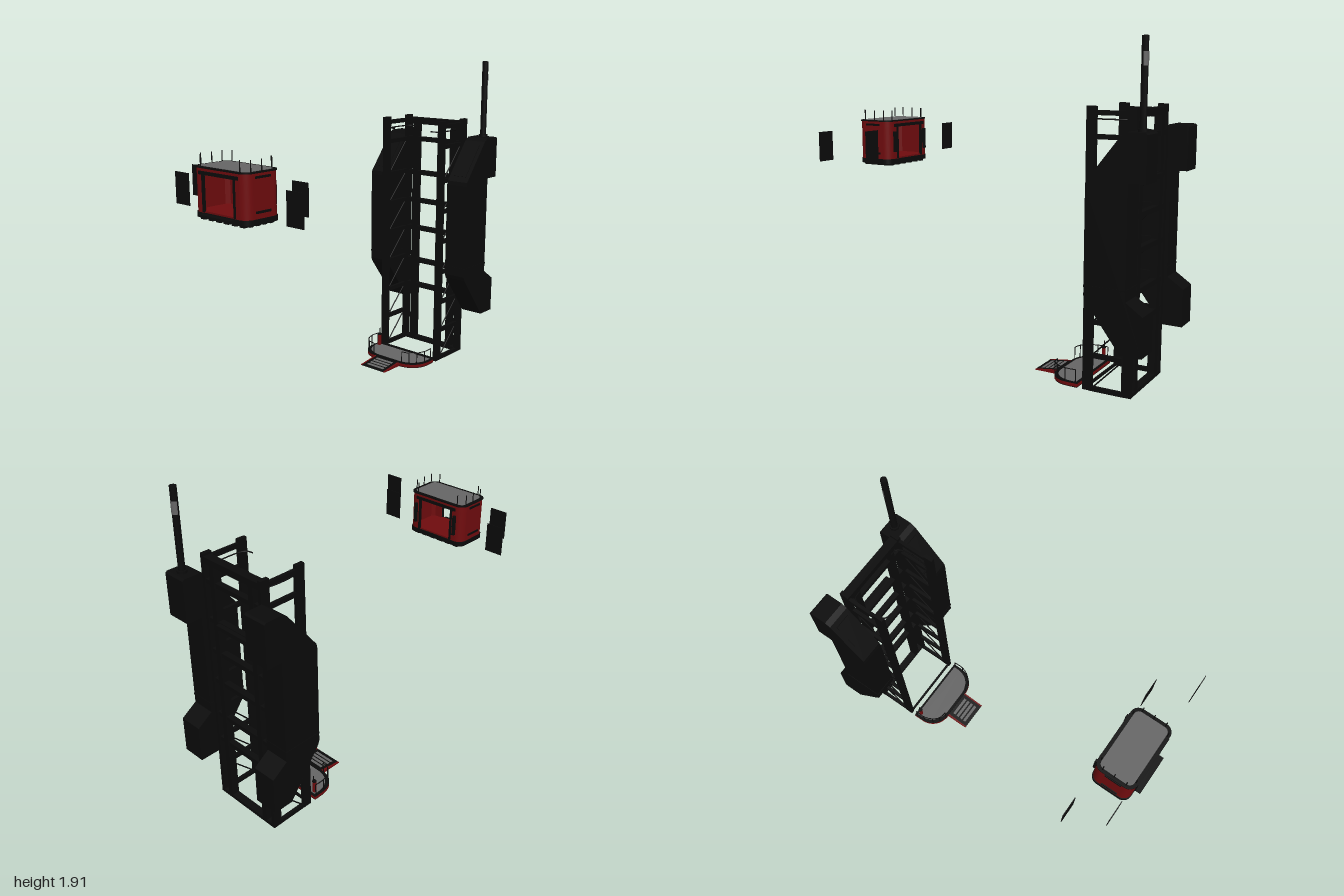
import * as THREE from 'three';

const mat = (name, color, side = THREE.FrontSide) => {
  const m = new THREE.MeshStandardMaterial({ color, side });
  m.name = name;
  return m;
};

export function createModel() {
  const black = mat('black metal', 0x0b0b0b);
  const red = mat('dark red paint', 0x700c0e);
  const gray = mat('gray tread', 0x666666);
  const doorBlack = black;

  const model = new THREE.Group();
  model.name = 'elevatorKit';
  const group = (name, x = 0) => {
    const g = new THREE.Group();
    g.name = name;
    g.position.x = x;
    model.add(g);
    return g;
  };
  const add = (g, name, geo, m) => {
    const mesh = new THREE.Mesh(geo, m);
    mesh.name = name;
    g.add(mesh);
    return mesh;
  };
  // box given by its limits
  const box = (g, name, m, x0, x1, y0, y1, z0, z1) => {
    const mesh = add(g, name, new THREE.BoxGeometry(Math.abs(x1 - x0), y1 - y0, Math.abs(z1 - z0)), m);
    mesh.position.set((x0 + x1) / 2, (y0 + y1) / 2, (z0 + z1) / 2);
    return mesh;
  };
  // straight round bar between two points
  const bar = (g, name, m, a, b, r) => {
    const p = new THREE.Vector3(...a), q = new THREE.Vector3(...b);
    const mesh = add(g, name, new THREE.CylinderGeometry(r, r, p.distanceTo(q), 8), m);
    mesh.position.copy(p).add(q).multiplyScalar(0.5);
    mesh.quaternion.setFromUnitVectors(new THREE.Vector3(0, 1, 0), q.sub(p).normalize());
    return mesh;
  };
  const tube = (g, name, m, pts, r) => add(g, name, new THREE.TubeGeometry(
    new THREE.CatmullRomCurve3(pts.map(p => new THREE.Vector3(...p)), false, 'centripetal'), 24, r, 6), m);
  // plan shape (x, -z) raised from y0 to y1
  const slab = (g, name, m, shape, y0, y1, z) => {
    const geo = new THREE.ExtrudeGeometry(shape, { depth: y1 - y0, bevelEnabled: false, curveSegments: 10 });
    geo.rotateX(-Math.PI / 2);
    const mesh = add(g, name, geo, m);
    mesh.position.set(0, y0, z);
    return mesh;
  };
  // side profile (z, y) widened along x
  const sideways = (g, name, m, pts, x0, x1) => {
    const shape = new THREE.Shape(pts.map(p => new THREE.Vector2(...p)));
    const geo = new THREE.ExtrudeGeometry(shape, { depth: x1 - x0, bevelEnabled: false });
    geo.rotateY(-Math.PI / 2).translate(x1, 0, 0);
    return add(g, name, geo, m);
  };
  const roundRect = (w, d, r) => {
    const s = new THREE.Shape();
    s.moveTo(-w + r, -d).lineTo(w - r, -d);
    s.absarc(w - r, -d + r, r, -Math.PI / 2, 0).absarc(w - r, d - r, r, 0, Math.PI / 2);
    s.absarc(-w + r, d - r, r, Math.PI / 2, Math.PI).absarc(-w + r, -d + r, r, Math.PI, Math.PI * 1.5);
    return s;
  };
  const CX = -0.045;

  // shaft tower
  const tower = group('tower', CX);
  for (const s of [-1, 1]) {
    box(tower, 'frontColumn', black, s * 0.205, s * 0.228, 0, 1.555, -0.655, -0.6);
    box(tower, 'rearColumn', black, s * 0.205, s * 0.228, 0, 1.555, -0.885, -0.83);
    box(tower, 'ladderColumn', black, s * 0.13, s * 0.167, 0, 1.52, -0.885, -0.84);
    const levels = [0.01, 0.2, 0.39, 0.59, 0.79, 0.985, 1.18, 1.395, 1.52];
    levels.forEach((y, i) => {
      box(tower, 'sideBeam', black, s * 0.207, s * 0.226, y - 0.012, y + 0.014, -0.84, -0.645);
      const next = levels[i + 1];
      if (next && i < 7) bar(tower, 'sideBrace', black, [s * 0.216, y, -0.65], [s * 0.216, next, -0.835], 0.004);
    });
    // guide rail bowed around each side
    tube(tower, 'guideRail', black, [[s * 0.14, 1.487, -0.835], [s * 0.178, 1.487, -0.83], [s * 0.196, 1.487, -0.8],
      [s * 0.196, 1.487, -0.65], [s * 0.178, 1.487, -0.622], [s * 0.14, 1.487, -0.615]], 0.004);
  }
  for (const y of [0.395, 0.57, 0.795, 0.985, 1.175, 1.4])
    box(tower, 'rung', black, -0.21, 0.21, y - 0.014, y + 0.014, -0.88, -0.845);
  box(tower, 'topBeam', black, -0.21, 0.21, 1.5, 1.54, -0.885, -0.835);
  box(tower, 'rearBaseBeam', black, -0.21, 0.21, 0, 0.022, -0.885, -0.84);
  box(tower, 'frontBaseBeam', black, -0.21, 0.21, 0, 0.015, -0.617, -0.605);
  box(tower, 'rearSill', black, -0.12, 0.12, 1.16, 1.185, -0.905, -0.88);

  // side housings
  const pods = group('sideHousings', CX);
  const podProfile = [[-0.88, 0.29], [-1, 0.29], [-1, 0.51], [-0.905, 0.575], [-0.905, 1.185], [-1, 1.185],
    [-1, 1.43], [-0.99, 1.44], [-0.89, 1.44], [-0.86, 1.42], [-0.675, 1.185], [-0.67, 1.16], [-0.67, 0.58], [-0.68, 0.555]];
  for (const s of [-1, 1]) {
    const c = s * 0.308;
    sideways(pods, 'housing', black, podProfile, c - 0.072, c + 0.072);
    box(pods, 'housingSeam', black, c - 0.074, c + 0.074, 0.627, 0.637, -0.907, -0.668);
    const panel = box(pods, 'slopePanel', black, c - 0.046, c + 0.046, 1.19, 1.42, -0.774, -0.766);
    panel.rotation.x = -0.66;
  }

  // mast with light band round the back
  const mast = group('mast');
  bar(mast, 'mastPole', black, [0.263, 1.43, -0.948], [0.263, 1.91, -0.948], 0.019);
  bar(mast, 'mastFoot', black, [0.263, 1.43, -0.948], [0.263, 1.455, -0.948], 0.028);
  const band = add(mast, 'mastLight', new THREE.CylinderGeometry(0.0205, 0.0205, 0.07, 12, 1, true, Math.PI / 2, Math.PI), gray);
  band.position.set(0.263, 1.798, -0.948);

  // cabin
  const cabin = group('cabin', CX);
  const CZ = 0.847, D = 0.117;
  const wall = new THREE.Shape();
  wall.moveTo(0.12, -D).lineTo(0.15, -D);
  wall.absarc(0.15, -D + 0.05, 0.05, -Math.PI / 2, 0).absarc(0.15, D - 0.05, 0.05, 0, Math.PI / 2);
  wall.lineTo(0.12, D).lineTo(0.12, D - 0.018).lineTo(0.165, D - 0.018).lineTo(0.182, D - 0.04);
  wall.lineTo(0.182, -D + 0.04).lineTo(0.165, -D + 0.018).lineTo(0.12, -D + 0.018);
  for (const s of [-1, 1]) {
    slab(cabin, 'cabinWall', red, wall, 1.19, 1.39, CZ).rotation.y = s < 0 ? Math.PI : 0;
    for (const y of [1.225, 1.4])
      box(cabin, 'sideTrim', black, s * 0.198, s * 0.206, y - 0.006, y + 0.006, 0.8, 0.9);
    box(cabin, 'rearHandle', black, s * 0.14, s * 0.157, 1.235, 1.36, 0.715, 0.735);
    for (const z of [0.73, 0.964])
      box(cabin, 'doorJamb', black, s * 0.114, s * 0.126, 1.195, 1.39, z - 0.008, z + 0.006);
    [[0.15, 0.742], [0.19, 0.776], [0.19, 0.845], [0.19, 0.917], [0.15, 0.952]].forEach(([x, z]) =>
      bar(cabin, 'roofPost', black, [s * x, 1.42, z], [s * x, 1.487, z], 0.003));
  }
  slab(cabin, 'cabinHeader', red, roundRect(0.2, D, 0.05), 1.387, 1.42, CZ);
  slab(cabin, 'roofRim', black, roundRect(0.205, 0.12, 0.05), 1.42, 1.427, CZ);
  slab(cabin, 'roofTread', gray, roundRect(0.185, 0.1, 0.03), 1.427, 1.429, CZ);
  slab(cabin, 'cabinFloor', red, roundRect(0.198, D - 0.002, 0.05), 1.185, 1.2, CZ);
  slab(cabin, 'cabinBase', black, roundRect(0.204, 0.12, 0.05), 1.163, 1.191, CZ);
  for (const z of [0.729, 0.965])
    box(cabin, 'doorLintel', black, -0.15, 0.15, 1.388, 1.406, z - 0.005, z + 0.005);
  box(cabin, 'doorSill', black, -0.12, 0.12, 1.18, 1.188, 0.95, 1);
  for (let i = 0; i < 6; i++) {
    const x = -0.15 + i * 0.06;
    box(cabin, 'underBumper', black, x - 0.017, x + 0.017, 1.15, 1.165, 0.745, 0.95);
  }
  for (let i = 0; i < 4; i++) {
    const z = 0.78 + i * 0.045;
    box(cabin, 'underBeam', black, -0.185, 0.185, 1.152, 1.165, z - 0.012, z + 0.012);
  }

  // loose sliding door leaves
  const doors = group('doors');
  for (const [x, z] of [[-0.48, 0.74], [0.305, 0.74], [-0.36, 0.945], [0.475, 0.945]])
    box(doors, 'doorLeaf', doorBlack, x - 0.056, x + 0.056, 1.205, 1.377, z - 0.002, z + 0.002);

  // entry platform
  const base = group('entryPlatform', CX);
  const dShape = (w, back, front) => {
    const s = new THREE.Shape();
    s.moveTo(w, -back).lineTo(-w, -back).lineTo(-w, -(front - 0.13));
    s.bezierCurveTo(-w, -(front - 0.05), -w + 0.06, -front, -w + 0.13, -front);
    s.lineTo(w - 0.13, -front);
    s.bezierCurveTo(w - 0.06, -front, w, -(front - 0.05), w, -(front - 0.13));
    return s;
  };
  slab(base, 'platformUnderside', black, dShape(0.228, -0.568, -0.382), 0, 0.005, 0);
  slab(base, 'platformEdge', red, dShape(0.23, -0.57, -0.38), 0.005, 0.023, 0);
  slab(base, 'platformRim', black, dShape(0.23, -0.57, -0.38), 0.023, 0.027, 0);
  slab(base, 'platformTread', gray, dShape(0.213, -0.556, -0.398), 0.027, 0.029, 0);
  const railPath = [[0.221, -0.555], [0.221, -0.49], [0.2, -0.435], [0.165, -0.4], [0.115, -0.388]];
  for (const s of [-1, 1]) {
    tube(base, 'handrail', black, railPath.map(([x, z]) => [s * x, 0.1, z]), 0.003);
    for (const [x, z] of railPath)
      bar(base, 'railPost', black, [s * x, 0.025, z], [s * x, 0.1, z], 0.003);
  }
  bar(base, 'controlPost', red, [-0.195, 0.027, -0.54], [-0.195, 0.1, -0.54], 0.012);
  bar(base, 'controlCap', black, [-0.195, 0.1, -0.54], [-0.195, 0.108, -0.54], 0.013);
  bar(base, 'controlAerial', black, [-0.195, 0.1, -0.545], [-0.195, 0.145, -0.545], 0.003);

  // ramp
  const wedge = (e) => [[-0.385, 0], [-0.235, 0], [-0.235, 0.003 + e], [-0.385, 0.024 + e]];
  sideways(base, 'ramp', black, wedge(0), -0.088, 0.088);
  for (const s of [-1, 1])
    sideways(base, 'rampEdge', red, wedge(0.001), s * 0.093 - 0.005, s * 0.093 + 0.005);
  for (let i = 0; i < 4; i++) {
    const z = -0.352 + i * 0.028;
    const slat = box(base, 'rampSlat', gray, -0.066, 0.066, 0, 0.003, z - 0.009, z + 0.009);
    slat.position.y = 0.0035 - (z + 0.235) * 0.14;
    slat.rotation.x = 0.139;
  }
  return model;
}
